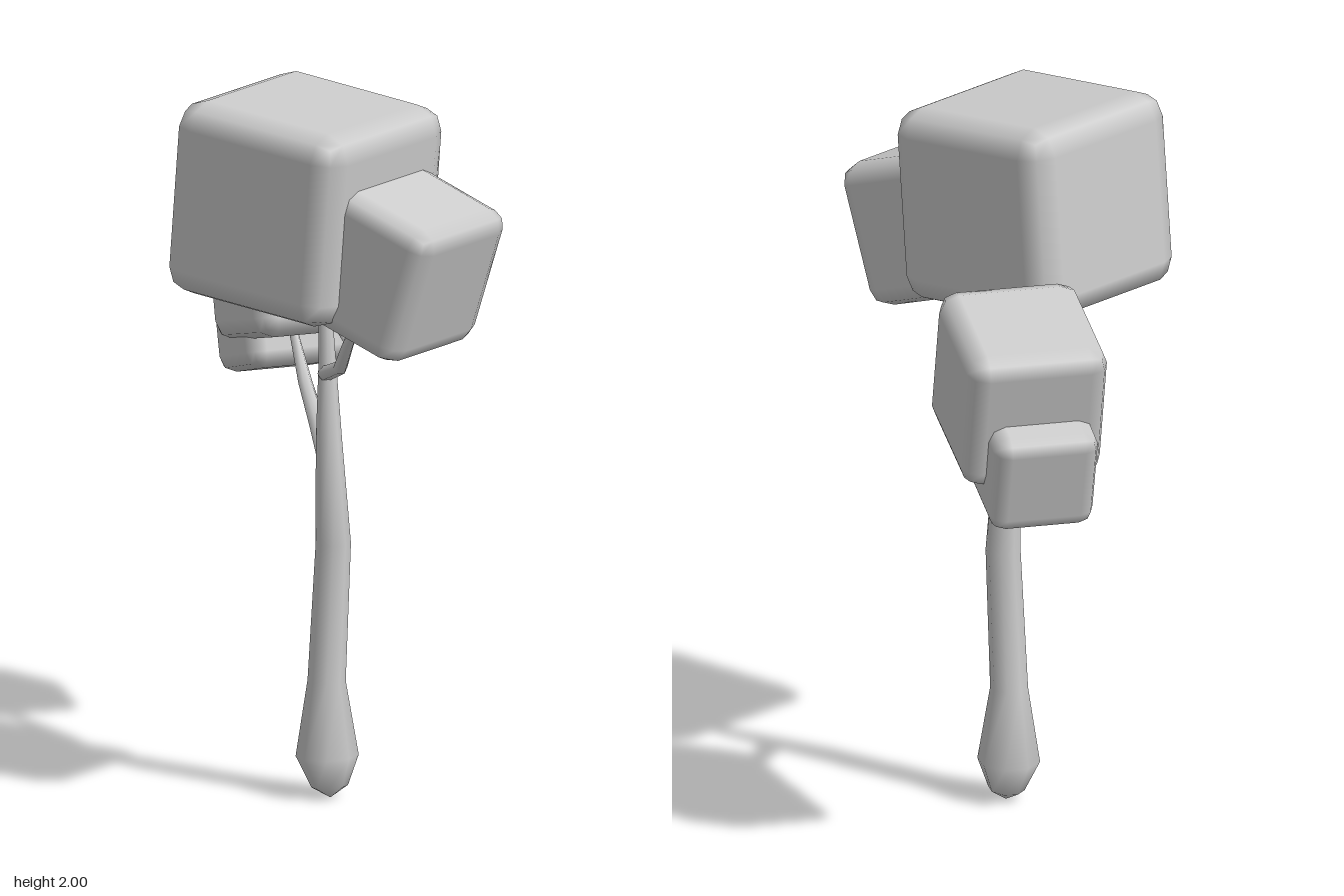
import * as THREE from 'three';
import { RoundedBoxGeometry } from 'three/addons/geometries/RoundedBoxGeometry.js';

const grey = new THREE.MeshStandardMaterial({ color: 0xcccccc });
grey.name = 'light grey';

// Tapered limb: rings of radius r around points [x, y, z, r], smooth sides
function limb(name, rings, sides = 8) {
  const pts = rings.map(([x, y, z]) => new THREE.Vector3(x, y, z));
  const up = new THREE.Vector3(0, 1, 0);
  const pos = [], idx = [];
  rings.forEach((ring, i) => {
    const a = pts[Math.max(i - 1, 0)], b = pts[Math.min(i + 1, pts.length - 1)];
    const q = new THREE.Quaternion().setFromUnitVectors(up, b.clone().sub(a).normalize());
    for (let s = 0; s < sides; s++) {
      const t = (s / sides) * Math.PI * 2;
      const v = new THREE.Vector3(Math.cos(t) * ring[3], 0, Math.sin(t) * ring[3]);
      v.applyQuaternion(q).add(pts[i]);
      pos.push(v.x, v.y, v.z);
      if (i > 0) {
        const n = (s + 1) % sides, lo = (i - 1) * sides, hi = i * sides;
        idx.push(lo + s, hi + s, lo + n, lo + n, hi + s, hi + n);
      }
    }
  });
  const geo = new THREE.BufferGeometry();
  geo.setAttribute('position', new THREE.Float32BufferAttribute(pos, 3));
  geo.setIndex(idx);
  geo.computeVertexNormals();
  const mesh = new THREE.Mesh(geo, grey);
  mesh.name = name;
  return mesh;
}

// Soft-edged leaf block, rolled about its own z and then turned about y
function leafBlock(name, [w, h, d], radius, [x, y, z], yaw, roll) {
  const mesh = new THREE.Mesh(new RoundedBoxGeometry(w, h, d, 1, radius), grey);
  mesh.name = name;
  mesh.position.set(x, y, z);
  mesh.rotation.set(0, THREE.MathUtils.degToRad(yaw), THREE.MathUtils.degToRad(roll), 'YXZ');
  return mesh;
}

export function createModel() {
  const tree = new THREE.Group();
  tree.name = 'tree';

  // Trunk with a bulbous foot
  tree.add(limb('trunk', [
    [0.068, 0.005, 0.058, 0.002], [0.066, 0.035, 0.058, 0.05], [0.056, 0.12, 0.058, 0.086],
    [0.053, 0.33, 0.057, 0.052], [0.078, 0.72, 0.056, 0.048], [0.058, 1.0, 0.053, 0.036],
    [0.05, 1.2, 0.051, 0.025], [0.033, 1.52, 0.05, 0.012],
  ]));

  // Branches
  tree.add(limb('rightBranch', [
    [0.05, 0.95, 0.05, 0.03], [-0.06, 1.015, -0.02, 0.025],
    [-0.17, 1.1, -0.08, 0.02], [-0.28, 1.22, -0.14, 0.012],
  ], 6));
  tree.add(limb('leftBranch', [
    [0.05, 1.19, 0.06, 0.022], [0.16, 1.235, 0.11, 0.02],
    [0.24, 1.32, 0.16, 0.017], [0.33, 1.43, 0.2, 0.01],
  ], 6));
  tree.add(limb('leftTwig', [
    [0.25, 1.335, 0.165, 0.014], [0.215, 1.38, 0.175, 0.012], [0.19, 1.46, 0.18, 0.008],
  ], 6));

  // Foliage
  tree.add(leafBlock('crownFoliage', [0.555, 0.55, 0.556], 0.075, [0.096, 1.71, 0.18], 9.5, -4.7));
  tree.add(leafBlock('leftFoliage', [0.4, 0.405, 0.408], 0.055, [0.397, 1.583, 0.128], 9.5, -18.5));
  tree.add(leafBlock('rightFoliage', [0.41, 0.41, 0.395], 0.055, [-0.364, 1.385, -0.238], -23.5, 14.5));
  tree.add(leafBlock('lowerRightFoliage', [0.3, 0.295, 0.295], 0.045, [-0.465, 1.21, -0.27], -23.5, 16));

  return tree;
}
